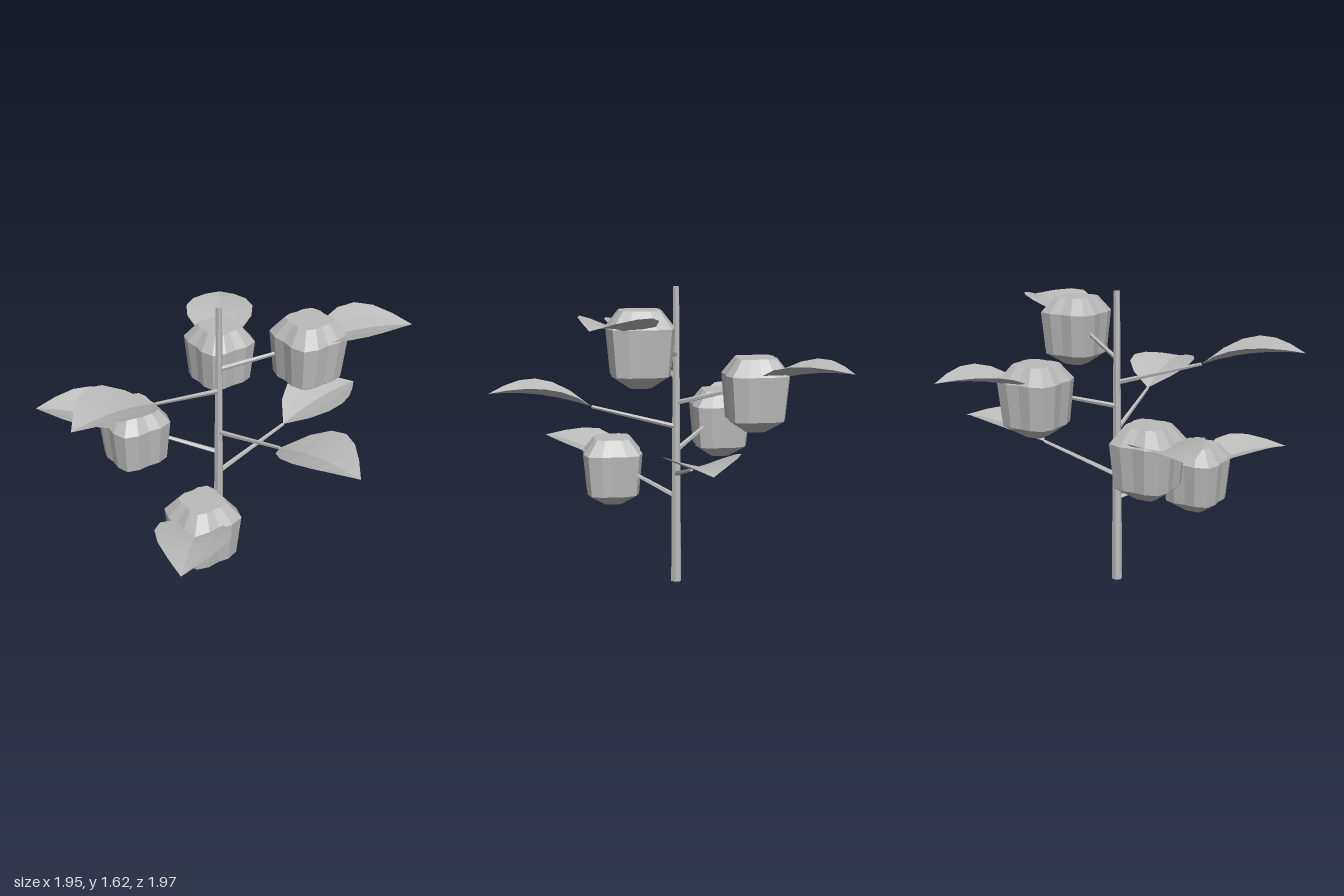
import * as THREE from 'three';

const NODES = 7;
const GOLDEN_ANGLE = THREE.MathUtils.degToRad(137.5);
const REACH = 0.46;      // horizontal length of a leaf stalk
const RISE = 0.13;       // height a stalk gains, also the spacing of the nodes
const LEAF_LENGTH = 0.535;

const grey = new THREE.MeshStandardMaterial({ color: 0xbbbbbb, side: THREE.DoubleSide });
grey.name = 'plain grey';

// Gives every face its own flat normal
function faceted(geometry) {
  const flat = geometry.index ? geometry.toNonIndexed() : geometry;
  flat.computeVertexNormals();
  return flat;
}

function part(name, geometry) {
  const mesh = new THREE.Mesh(faceted(geometry), grey);
  mesh.name = name;
  return mesh;
}

// Tapered rod between two points
function rod(name, from, to, r0, r1, sides) {
  const dir = to.clone().sub(from);
  const mesh = part(name, new THREE.CylinderGeometry(r1, r0, dir.length(), sides));
  mesh.position.copy(from).add(to).multiplyScalar(0.5);
  mesh.quaternion.setFromUnitVectors(new THREE.Vector3(0, 1, 0), dir.normalize());
  return mesh;
}

// Leaf along +z from its base: arched midrib, raised sides, pointed tip
function leafGeometry() {
  const geo = new THREE.PlaneGeometry(2, 1, 4, 6);
  geo.rotateX(Math.PI / 2).scale(1, -1, 1);
  const p = geo.attributes.position;
  for (let i = 0; i < p.count; i++) {
    const s = p.getX(i);
    const t = THREE.MathUtils.clamp(p.getZ(i) + 0.5, 0, 1);
    const half = 0.193 * Math.sin(Math.PI * Math.pow(t, 0.85));
    const y = 0.21 * t - 0.12 * t * t + 0.3 * half * Math.pow(Math.abs(s), 1.2);
    p.setXYZ(i, s * half, y, t * LEAF_LENGTH);
  }
  // Wind the faces so that the upper side is the front
  const idx = geo.index.array;
  const a = new THREE.Vector3().fromBufferAttribute(p, idx[36]);
  const b = new THREE.Vector3().fromBufferAttribute(p, idx[37]);
  const c = new THREE.Vector3().fromBufferAttribute(p, idx[38]);
  if (b.sub(a).cross(c.sub(a)).y < 0) {
    for (let i = 0; i < idx.length; i += 3) [idx[i], idx[i + 1]] = [idx[i + 1], idx[i]];
  }
  return geo;
}

// Four-lobed fruit, its lobes on the x and z axes
function fruitGeometry() {
  const profile = [[0, 0], [0.067, 0], [0.177, 0.065], [0.202, 0.298], [0.125, 0.382], [0, 0.382]];
  const geo = new THREE.LatheGeometry(profile.map(([r, y]) => new THREE.Vector2(r, y)), 16);
  const p = geo.attributes.position;
  for (let i = 0; i < p.count; i++) {
    const k = (1 + 0.12 * Math.cos(4 * Math.atan2(p.getX(i), p.getZ(i)))) / 1.12;
    p.setX(i, p.getX(i) * k);
    p.setZ(i, p.getZ(i) * k);
  }
  return geo;
}

export function createModel() {
  const plant = new THREE.Group();
  plant.name = 'fruitingPlant';

  // Main stem
  plant.add(rod('mainStem', new THREE.Vector3(0, 0, 0), new THREE.Vector3(0, 1.62, 0), 0.03, 0.017, 6));

  // Stalks spiral up the stem, each with a leaf, every second one with a fruit
  for (let i = 0; i < NODES; i++) {
    const angle = i * GOLDEN_ANGLE;
    const y = 0.48 + i * RISE;
    const foot = new THREE.Vector3(0, y, 0);
    const end = new THREE.Vector3(Math.sin(angle) * REACH, y + RISE, Math.cos(angle) * REACH);
    plant.add(rod('leafStalk', foot, end, 0.014, 0.009, 5));

    const leaf = part('leaf', leafGeometry());
    leaf.position.copy(end);
    leaf.rotation.y = angle;
    plant.add(leaf);

    if (i % 2 === 0) {
      const fruit = part('fruit', fruitGeometry());
      fruit.position.copy(end);
      fruit.position.y -= 0.238;
      plant.add(fruit);
    }
  }

  plant.position.set(0.008, 0, -0.005);
  const model = new THREE.Group();
  model.name = 'plant';
  model.add(plant);
  return model;
}
